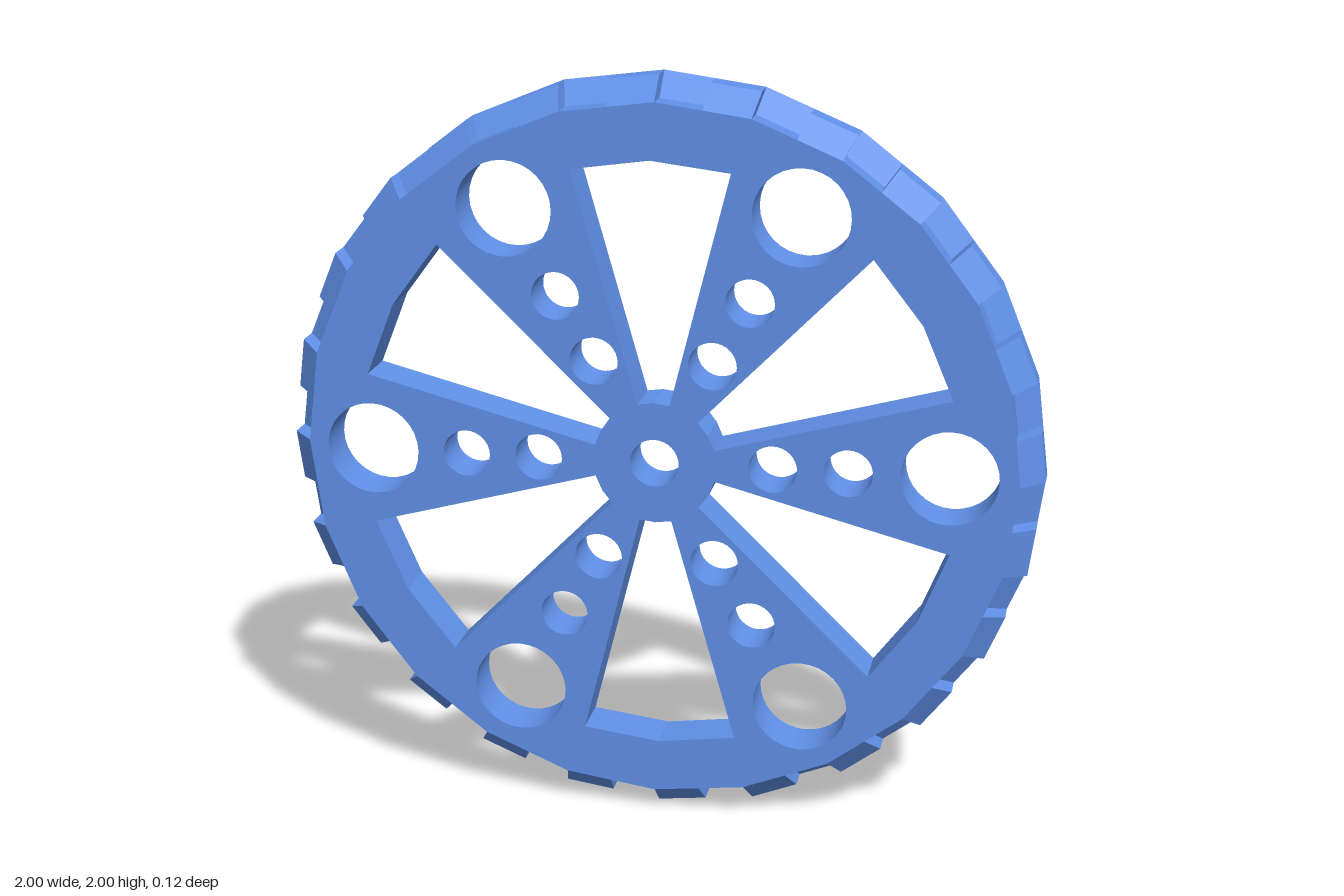
import * as THREE from 'three';
import { toCreasedNormals } from 'three/addons/utils/BufferGeometryUtils.js';

const RAD = Math.PI / 180;
const HALF = 0.0625;   // half thickness
const OUTER = 1, INNER = 0.94;
const TWIST = 0.9;     // spokes are turned slightly against the rim
const material = new THREE.MeshStandardMaterial({ color: 0x6090e8 });

const polar = (deg, r) => new THREE.Vector2(r * Math.cos(deg * RAD), r * Math.sin(deg * RAD));

// radius factor on the 24-sided outline: 1 at corners, less at mid-sides
const chord = (step) => (step % 2 ? Math.cos(7.5 * RAD) : 1);

function circlePath(deg, dist, r, sides = 32) {
  const c = polar(deg, dist);
  const pts = [];
  for (let i = 0; i < sides; i++) pts.push(polar((i * 360) / sides, r).add(c));
  return new THREE.Path(pts);
}

// Plate with hub bore, six windows and three holes in each spoke
function plateGeometry() {
  const outline = [];
  for (let i = 0; i < 24; i++) outline.push(polar(i * 15, INNER));
  const shape = new THREE.Shape(outline);
  shape.holes.push(circlePath(0, 0, 0.064));
  for (let k = 0; k < 6; k++) {
    const spoke = TWIST + k * 60, mid = spoke + 30;
    shape.holes.push(circlePath(spoke, 0.31, 0.063));
    shape.holes.push(circlePath(spoke, 0.505, 0.063));
    shape.holes.push(circlePath(spoke, 0.763, 0.125));
    shape.holes.push(new THREE.Path([
      polar(mid - 15, 0.163), polar(mid - 15, 0.794), polar(mid, 0.794),
      polar(mid + 15, 0.794), polar(mid + 15, 0.163), polar(mid, 0.163),
    ]));
  }
  const geo = new THREE.ExtrudeGeometry(shape, { depth: 2 * HALF, bevelEnabled: false });
  geo.translate(0, 0, -HALF);
  return toCreasedNormals(geo, 0.22);
}

// Rim: teeth with a sloped front alternate with notches with a sloped back
function rimGeometry() {
  const tooth = [[INNER, -HALF], [OUTER, -HALF], [OUTER, 0], [INNER, HALF]];
  const notch = [[INNER, -HALF], [OUTER, -HALF], [INNER, 0]];
  const flank = [[OUTER, -HALF], [OUTER, 0], [INNER, HALF], [INNER, 0]];
  const pos = [];
  const point = (step, [r, z]) => {
    const p = polar(step * 7.5, r * chord(step));
    return [p.x, p.y, z];
  };
  const quad = (a, b, c, d) => pos.push(...a, ...b, ...c, ...a, ...c, ...d);

  for (let s = 0; s < 48; s++) {
    const profile = s % 2 ? notch : tooth;
    for (let i = 0; i + 1 < profile.length; i++) {
      const p = profile[i], q = profile[i + 1];
      quad(point(s, p), point(s + 1, p), point(s + 1, q), point(s, q));
    }
    if (s % 2 === 0) {
      quad(...flank.map((p) => point(s, p)));
      quad(...flank.map((p) => point(s + 1, p)).reverse());
    }
  }
  const geo = new THREE.BufferGeometry();
  geo.setAttribute('position', new THREE.Float32BufferAttribute(pos, 3));
  geo.computeVertexNormals();
  return geo;
}

export function createModel() {
  const wheel = new THREE.Group();
  wheel.name = 'wheel';
  const add = (name, geo) => {
    const mesh = new THREE.Mesh(geo, material);
    mesh.name = name;
    mesh.position.y = 1;
    wheel.add(mesh);
  };
  add('spokedPlate', plateGeometry());
  add('toothedRim', rimGeometry());
  return wheel;
}
